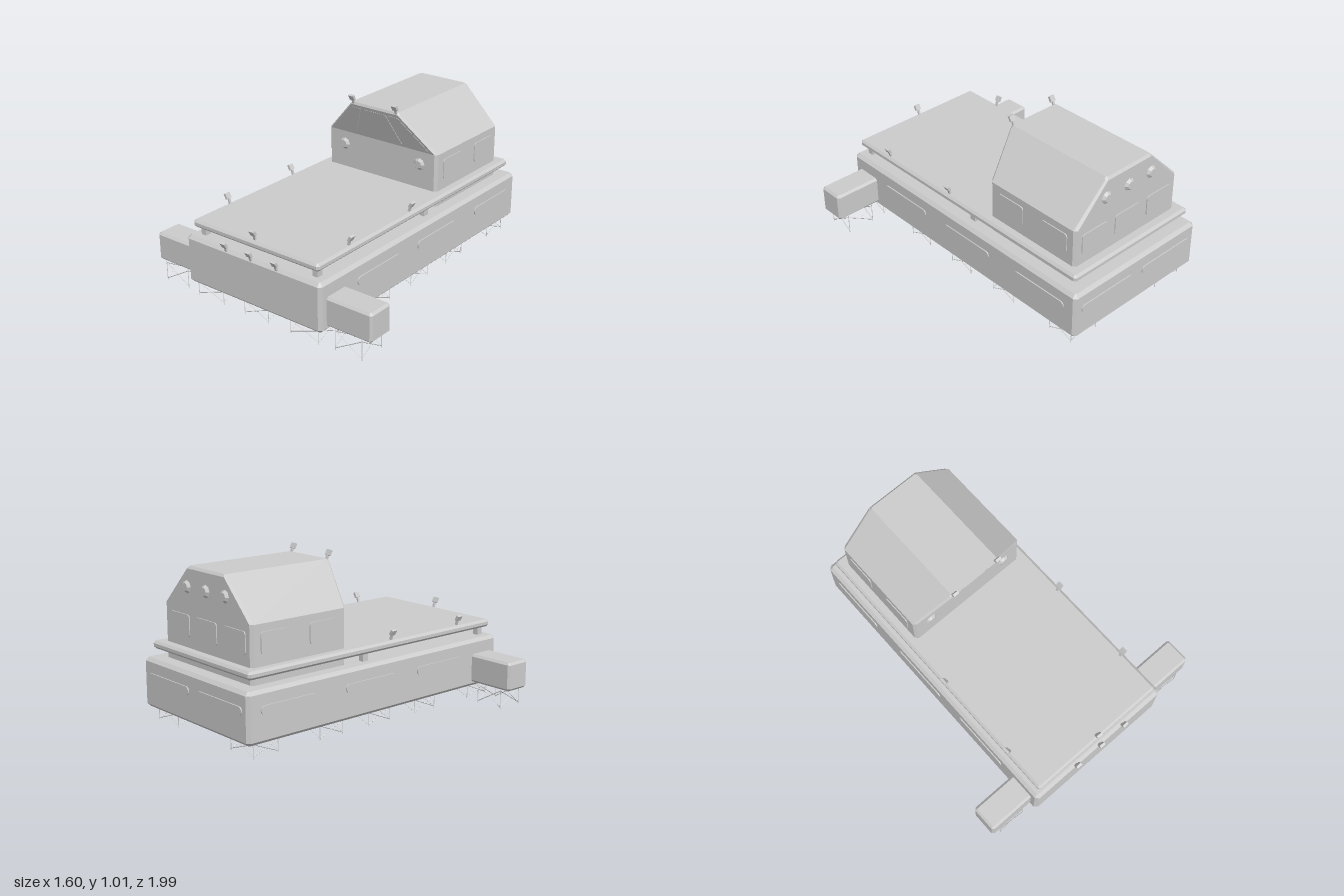
import * as THREE from 'three';
import { ConvexGeometry } from 'three/addons/geometries/ConvexGeometry.js';

const grey = new THREE.MeshStandardMaterial({ color: 0xcccccc, flatShading: true });

// Horizontal rectangle with cut corners
function ring(hw, z0, z1, y, c) {
  const pts = [];
  for (const s of [-1, 1]) for (const [z, d] of [[z0, 1], [z1, -1]]) {
    pts.push(new THREE.Vector3(s * (hw - c), y, z), new THREE.Vector3(s * hw, y, z + d * c));
  }
  return pts;
}

export function createModel() {
  const model = new THREE.Group();

  function add(name, geometry, x = 0, y = 0, z = 0, parent = model) {
    const mesh = new THREE.Mesh(geometry, grey);
    mesh.name = name;
    mesh.position.set(x, y, z);
    parent.add(mesh);
    return mesh;
  }

  // Box with all edges chamfered
  function chamferBox(name, hw, y0, y1, z0, z1, c, x = 0) {
    const pts = [
      ...ring(hw - c, z0 + c, z1 - c, y0, c / 3), ...ring(hw, z0, z1, y0 + c, c),
      ...ring(hw, z0, z1, y1 - c, c), ...ring(hw - c, z0 + c, z1 - c, y1, c / 3),
    ];
    return add(name, new ConvexGeometry(pts), x);
  }

  // Thin raised plate with rounded corners, facing +z before turning
  function panel(name, w, h, r, x, y, z, turn) {
    const s = new THREE.Shape(), a = w / 2, b = h / 2;
    s.moveTo(-a + r, -b);
    s.lineTo(a - r, -b);
    s.absarc(a - r, -b + r, r, -Math.PI / 2, 0);
    s.absarc(a - r, b - r, r, 0, Math.PI / 2);
    s.absarc(-a + r, b - r, r, Math.PI / 2, Math.PI);
    s.absarc(-a + r, -b + r, r, Math.PI, Math.PI * 1.5);
    const g = new THREE.ExtrudeGeometry(s, { depth: 0.008, bevelEnabled: false, curveSegments: 5 });
    add(name, g, x, y, z, model).rotation.y = turn;
  }

  // Faceted round light, facing +z or -z
  function roundLight(name, x, y, z, dir) {
    const g = new THREE.CylinderGeometry(0.024, 0.04, 0.018, 8);
    add(name, g, x, y, z).rotation.x = dir * Math.PI / 2;
  }

  // Small lamp: a post with a leaning head
  function lamp(name, x, y, z, turn) {
    const g = new THREE.Group();
    g.name = name;
    g.position.set(x, y, z);
    g.rotation.y = turn;
    add('lampPost', new THREE.BoxGeometry(0.014, 0.035, 0.012), 0, 0.012, 0, g).rotation.x = 0.3;
    add('lampHead', new THREE.BoxGeometry(0.036, 0.034, 0.016), 0, 0.04, 0.013, g).rotation.x = 0.5;
    model.add(g);
  }

  // Thin rod between two points
  function rod(a, b, parent) {
    const d = b.clone().sub(a);
    const m = add('rod', new THREE.CylinderGeometry(0.0025, 0.0025, d.length(), 4), 0, 0, 0, parent);
    m.position.copy(a).add(b).multiplyScalar(0.5);
    m.quaternion.setFromUnitVectors(new THREE.Vector3(0, 1, 0), d.normalize());
  }

  // Braced foot: four legs with crossed rods on every side
  function foot(x, z, top, hx = 0.09) {
    const g = new THREE.Group();
    g.name = 'bracedFoot';
    g.position.set(x, 0, z);
    const hz = 0.085;
    const corners = [[hx, hz], [hx, -hz], [-hx, -hz], [-hx, hz]];
    corners.forEach(([ax, az], i) => {
      const [bx, bz] = corners[(i + 1) % 4];
      const low = 0.012, high = top - 0.01;
      rod(new THREE.Vector3(ax, 0, az), new THREE.Vector3(ax, top, az), g);
      rod(new THREE.Vector3(ax, low, az), new THREE.Vector3(bx, high, bz), g);
      rod(new THREE.Vector3(ax, high, az), new THREE.Vector3(bx, low, bz), g);
    });
    model.add(g);
  }

  // Hull, raised deck and side pods
  chamferBox('hull', 0.5, 0.09, 0.39, -0.99, 0.97, 0.02);
  chamferBox('deck', 0.465, 0.44, 0.487, -0.95, 0.945, 0.014);
  for (const s of [-1, 1]) {
    chamferBox('sidePod', 0.16, 0.12, 0.298, 0.75, 0.92, 0.014, s * 0.64);
    for (const z of [0.89, -0.09]) {
      add('deckSupport', new THREE.BoxGeometry(0.035, 0.07, 0.04), s * 0.415, 0.415, z);
    }
  }

  // Cabin: upright lower part, upper part leaning forward over the front
  add('cabinLower', new ConvexGeometry([
    ...ring(0.41, -0.89, -0.22, 0.38, 0.018), ...ring(0.41, -0.89, -0.22, 0.722, 0.018),
  ]));
  add('cabinUpper', new ConvexGeometry([
    ...ring(0.41, -0.89, -0.22, 0.722, 0.018),
    ...ring(0.186, -0.89, -0.143, 0.945, 0.012),
    ...ring(0.172, -0.877, -0.15, 0.96, 0.01),
  ]));

  // Windscreen panes on the leaning front
  const pane = (pts) => {
    const s = new THREE.Shape(pts.map(([x, y]) => new THREE.Vector2(x, y)));
    const g = new THREE.ExtrudeGeometry(s, { depth: 0.003, bevelEnabled: false });
    const p = g.attributes.position;
    for (let i = 0; i < p.count; i++) {
      p.setZ(i, p.getZ(i) - 0.22 + (p.getY(i) - 0.722) * 0.345);
    }
    g.computeVertexNormals();
    add('windscreenPane', g);
  };
  pane([[-0.16, 0.74], [0.16, 0.74], [0.08, 0.925], [-0.08, 0.925]]);
  pane([[0.185, 0.74], [0.35, 0.74], [0.17, 0.925], [0.105, 0.925]]);
  pane([[-0.35, 0.74], [-0.185, 0.74], [-0.105, 0.925], [-0.17, 0.925]]);

  // Side slots and cabin windows
  for (const s of [-1, 1]) {
    const turn = s * Math.PI / 2;
    for (const z of [0.46, -0.105, -0.71]) panel('sideSlot', 0.39, 0.05, 0.024, s * 0.499, 0.28, z, turn);
    for (const z of [-0.39, -0.73]) panel('cabinWindow', 0.2, 0.125, 0.02, s * 0.408, 0.615, z, turn);
    panel('rearSlot', 0.41, 0.05, 0.024, s * 0.245, 0.28, -0.989, Math.PI);
    roundLight('frontLight', s * 0.285, 0.64, -0.213, 1);
  }
  for (const x of [-0.26, 0, 0.26]) {
    panel('rearWindow', 0.2, 0.13, 0.02, x, 0.615, -0.888, Math.PI);
    roundLight('rearLight', x * 0.69, 0.84, -0.897, -1);
  }

  // Lamps on the hull front, deck edge and cabin roof
  for (const x of [-0.187, 0, 0.187]) lamp('hullLamp', x, 0.38, 0.967, 0);
  lamp('deckFrontLamp', 0, 0.495, 0.928, 0);
  for (const s of [-1, 1]) {
    for (const z of [0.66, 0.1]) lamp('deckSideLamp', s * 0.448, 0.495, z, s * Math.PI / 2);
    lamp('roofLamp', s * 0.16, 0.952, -0.146, 0);
  }

  // Feet under hull and pods
  foot(0, 0.85, 0.095);
  for (const s of [-1, 1]) {
    for (const z of [0.85, 0.38, 0, -0.37, -0.84]) foot(s * 0.355, z, 0.095, 0.1);
    foot(s * 0.648, 0.835, 0.125);
  }

  return model;
}
